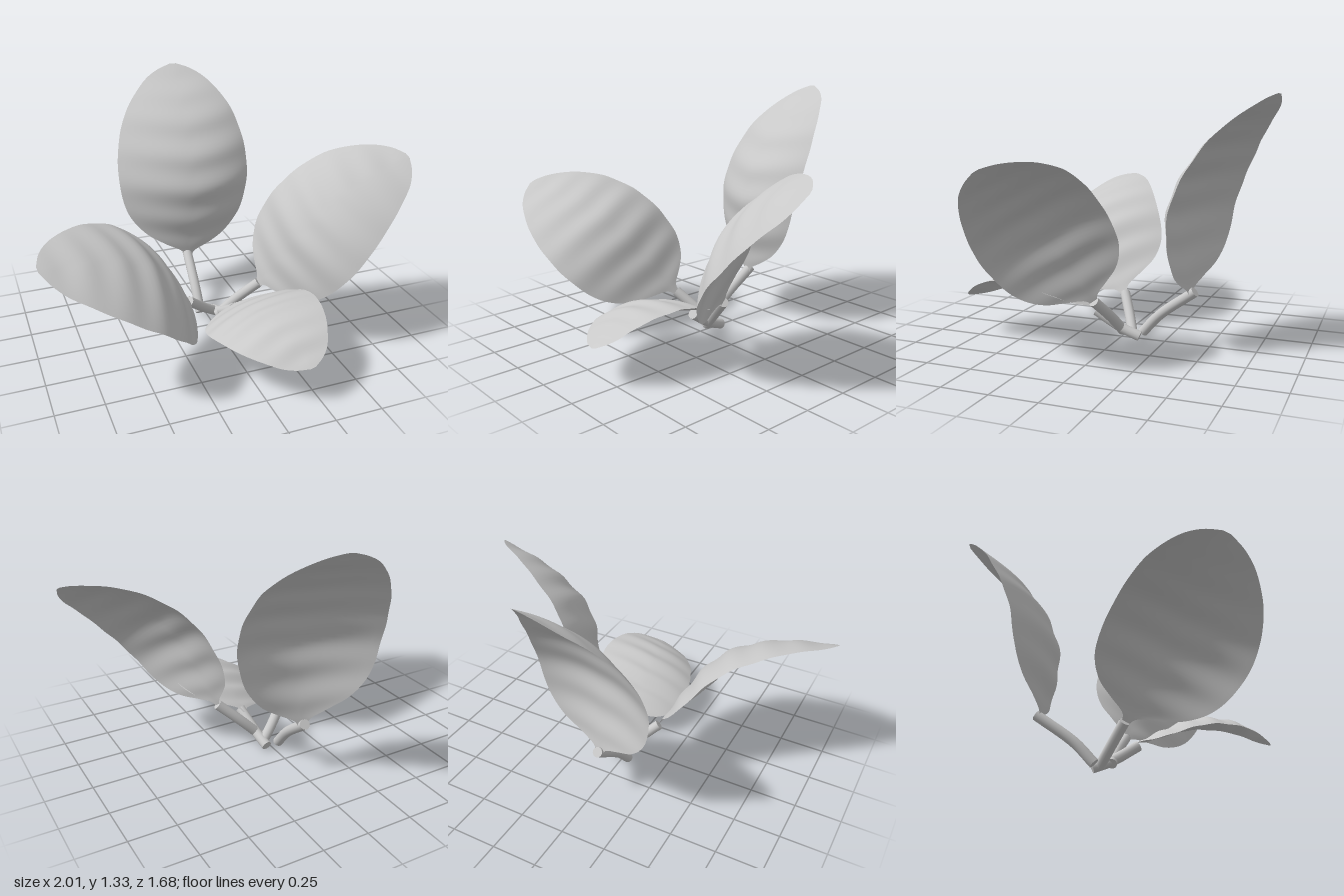
import * as THREE from 'three';

const V = (p) => new THREE.Vector3(...p);

// Leaf outline: position along the midrib, relative half width
const outline = new THREE.SplineCurve([
  [0, 0.05], [0.04, 0.11], [0.08, 0.36], [0.13, 0.62], [0.21, 0.84], [0.3, 0.95], [0.42, 1],
  [0.56, 0.96], [0.72, 0.81], [0.88, 0.53], [0.96, 0.29], [1, 0.05],
].map(([t, w]) => new THREE.Vector2(t, w)));

// Each leaf: midrib points from base to tip, the two edge points at its widest, and the stem path
const leaves = [
  {
    name: 'backLeaf',
    rib: [[-0.02, 0.25, -0.39], [0, 0.74, -0.33], [0.02, 1.07, -0.51], [0.05, 1.33, -0.835]],
    edges: [[-0.385, 0.73, -0.54], [0.35, 0.75, -0.37]],
    stem: [[-0.04, 0.03, -0.11], [-0.035, 0.14, -0.21], [-0.02, 0.29, -0.41]],
  },
  {
    name: 'leftLeaf',
    rib: [[0.24, 0.24, 0.05], [0.435, 0.675, 0.27], [0.685, 0.88, 0.29], [1, 1, 0.28]],
    edges: [[0.415, 0.8, -0.05], [0.57, 0.46, 0.515]],
    stem: [[0.03, 0.05, -0.02], [0.13, 0.15, 0.01], [0.25, 0.26, 0.06]],
  },
  {
    name: 'rightLeaf',
    rib: [[-0.15, 0.2, 0.04], [-0.39, 0.595, 0.305], [-0.66, 0.725, 0.395], [-1, 0.77, 0.45]],
    edges: [[-0.5, 0.68, -0.03], [-0.4, 0.37, 0.625]],
    stem: [[0.04, 0.04, -0.08], [-0.05, 0.11, -0.03], [-0.16, 0.21, 0.04]],
  },
  {
    name: 'frontLeaf',
    rib: [[0.07, 0.16, 0.07], [0.09, 0.32, 0.43], [0.13, 0.305, 0.65], [0.2, 0.21, 0.84]],
    edges: [[-0.155, 0.2, 0.44], [0.395, 0.355, 0.41]],
    stem: [[0.04, 0.03, -0.12], [0.05, 0.07, -0.02], [0.075, 0.16, 0.12]],
  },
];

// Arched blade with soft ripples that follow the side veins
function bladeGeometry({ rib, edges }) {
  const midrib = new THREE.CatmullRomCurve3(rib.map(V));
  const middle = V(rib[1]);
  const [a, b] = edges.map(V);
  const across = b.clone().sub(a).multiplyScalar(0.5);
  const droop = a.clone().add(b).multiplyScalar(0.5).sub(middle);
  const up = droop.clone().normalize().negate();

  const geometry = new THREE.PlaneGeometry(2, 1, 24, 80);
  const pos = geometry.attributes.position;
  for (let i = 0; i < pos.count; i++) {
    const s = pos.getX(i);
    const o = outline.getPoint(pos.getY(i) + 0.5);
    const t = THREE.MathUtils.clamp(o.x, 0, 1);
    const w = Math.max(o.y, 0.02);
    const ripple = 0.007 * w * (1 - 0.7 * s * s) * Math.sin(t * 40 - Math.abs(s) * 1.2);
    const p = midrib.getPointAt(t)
      .addScaledVector(across, s * w)
      .addScaledVector(droop, s * s * w * w)
      .addScaledVector(up, ripple);
    pos.setXYZ(i, p.x, p.y, p.z);
  }
  geometry.computeVertexNormals();
  return geometry;
}

// Round stem with closed ends
function buildStem(points, material) {
  const stem = new THREE.Group();
  stem.name = 'stem';
  const curve = new THREE.CatmullRomCurve3(points.map(V));
  const radius = 0.028;
  const tube = new THREE.Mesh(new THREE.TubeGeometry(curve, 16, radius, 14), material);
  tube.name = 'stemTube';
  stem.add(tube);
  for (const end of [0, 1]) {
    const cap = new THREE.Mesh(new THREE.CircleGeometry(radius, 14), material);
    cap.name = 'stemEnd';
    const at = curve.getPoint(end);
    const out = curve.getTangent(end).multiplyScalar(end ? 1 : -1);
    cap.position.copy(at);
    cap.lookAt(at.clone().add(out));
    stem.add(cap);
  }
  return stem;
}

export function createModel() {
  const model = new THREE.Group();
  model.name = 'leafSprig';
  const grey = new THREE.MeshStandardMaterial({ color: 0xc8c8c8, side: THREE.DoubleSide });
  grey.name = 'paleGrey';

  for (const leaf of leaves) {
    const group = new THREE.Group();
    group.name = leaf.name;
    const blade = new THREE.Mesh(bladeGeometry(leaf), grey);
    blade.name = 'blade';
    group.add(blade, buildStem(leaf.stem, grey));
    model.add(group);
  }
  return model;
}
